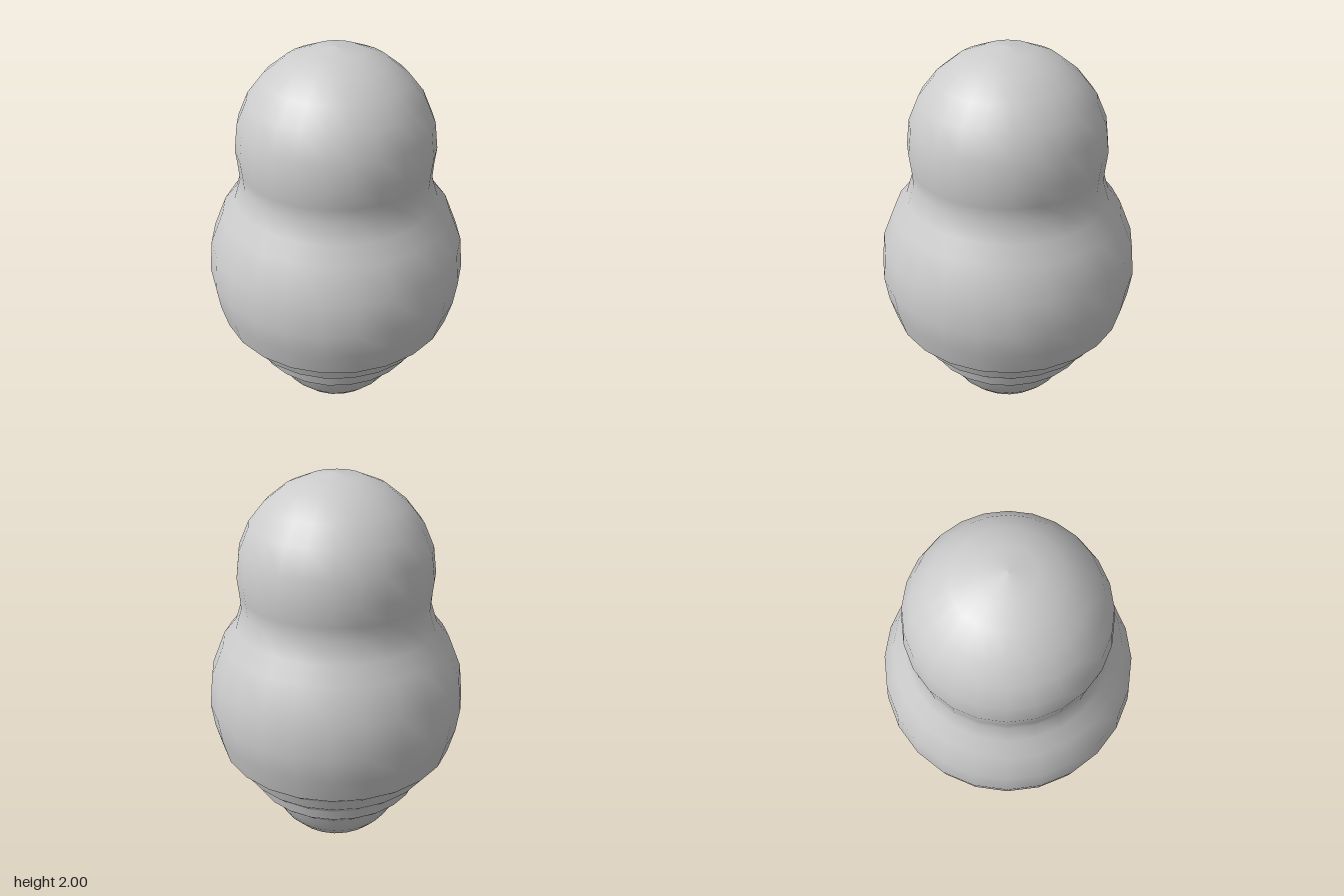
import * as THREE from 'three';

const SIDES = 24;

export function createModel() {
  const model = new THREE.Group();
  const material = new THREE.MeshStandardMaterial({ color: 0xcccccc });

  // Turned section; the profile runs from bottom to top as [radius, height]
  function turned(name, profile) {
    const points = profile.map(([r, y]) => new THREE.Vector2(r, y));
    const mesh = new THREE.Mesh(new THREE.LatheGeometry(points, SIDES), material);
    mesh.name = name;
    model.add(mesh);
  }

  // Rounded tip at the bottom
  turned('roundedTip', [
    [0, 0], [0.095, 0.013], [0.18, 0.043], [0.25, 0.095],
    [0.307, 0.16], [0.34, 0.22], [0.362, 0.28],
  ]);

  // Stepped rings, each its own section so the edges between them stay sharp
  const steps = [[0.37, 0.28], [0.44, 0.345], [0.455, 0.407], [0.52, 0.47], [0.54, 0.53], [0.608, 0.59]];
  for (let i = 0; i < steps.length - 1; i++) {
    turned(`ring${i + 1}`, [steps[i], steps[i + 1]]);
  }
  turned('ringUnderside', [[0.362, 0.28], steps[0]]);

  // Belly, neck and domed head in one smooth sweep
  turned('bellyAndHead', [
    [0.608, 0.59], [0.641, 0.72], [0.657, 0.848], [0.638, 1.015],
    [0.57, 1.18], [0.505, 1.258], [0.472, 1.36], [0.476, 1.43], [0.485, 1.52],
    [0.468, 1.65], [0.417, 1.765], [0.34, 1.86], [0.24, 1.938],
    [0.125, 1.985], [0, 2],
  ]);

  return model;
}
